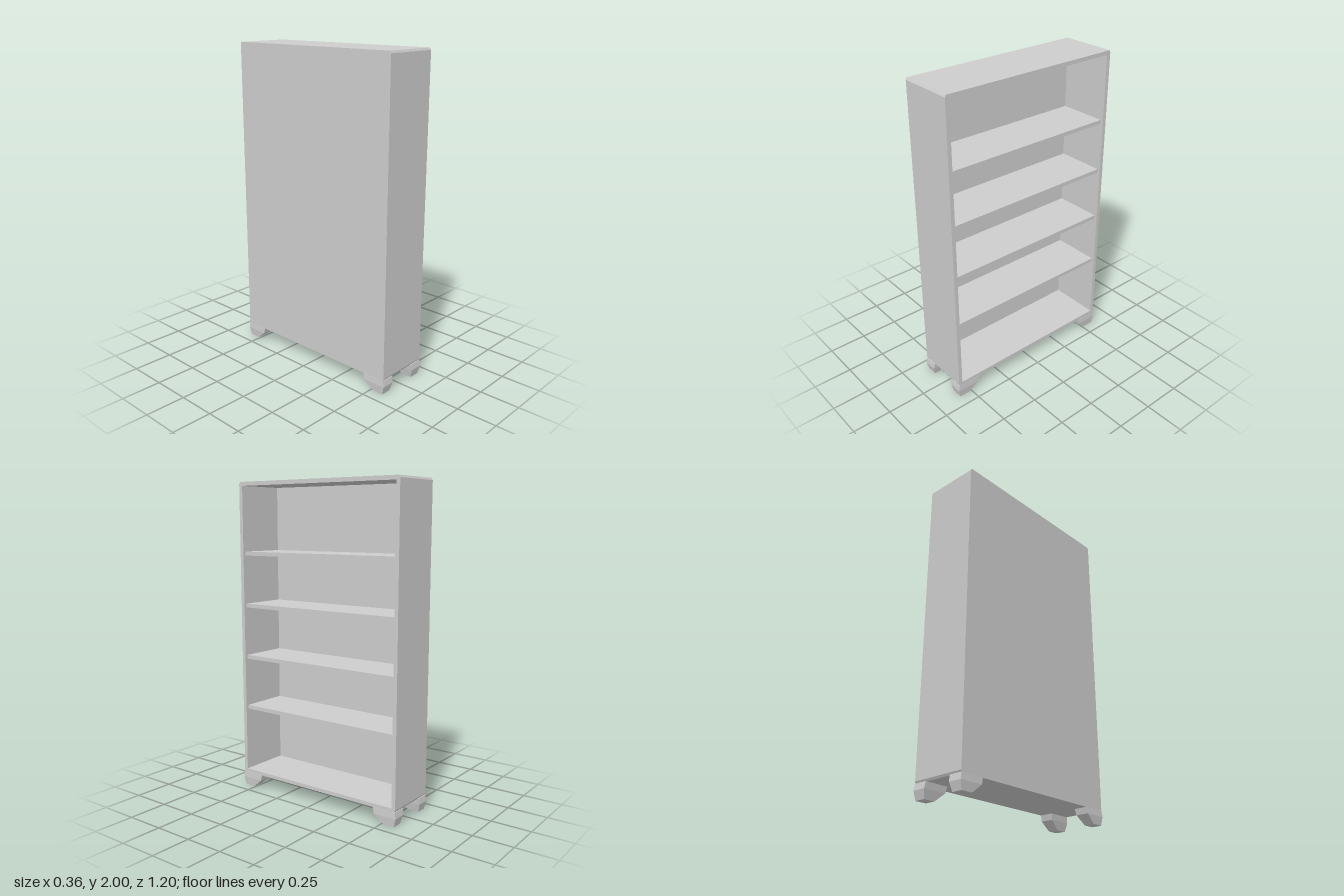
import * as THREE from 'three';

export function createModel() {
  const model = new THREE.Group();
  model.name = 'bookcase';
  const grey = new THREE.MeshStandardMaterial({ color: 0xcccccc, flatShading: true });
  grey.name = 'plain grey';

  const add = (name, geometry, x = 0, y = 0, z = 0) => {
    const mesh = new THREE.Mesh(geometry, grey);
    mesh.name = name;
    mesh.position.set(x, y, z);
    model.add(mesh);
    return mesh;
  };

  const back = -0.177, front = 0.177, backThickness = 0.02;
  const outerZ = 0.595, innerZ = 0.57;
  const bottom = 0.09, top = 2, floor = 0.113, ceiling = 1.975;
  const bevelZ = 0.007, bevelY = 0.013;

  // Outline of the case with small chamfers, drawn in (z, y)
  const outline = () => new THREE.Shape([
    [-outerZ + bevelZ, bottom], [outerZ - bevelZ, bottom],
    [outerZ, bottom + bevelY], [outerZ, top - bevelY],
    [outerZ - bevelZ, top], [-outerZ + bevelZ, top],
    [-outerZ, top - bevelY], [-outerZ, bottom + bevelY],
  ].map(([z, y]) => new THREE.Vector2(z, y)));

  // Extrude along x, from x0 to x1
  const slab = (shape, x0, x1) =>
    new THREE.ExtrudeGeometry(shape, { depth: x1 - x0, bevelEnabled: false })
      .rotateY(Math.PI / 2).translate(x0, 0, 0);

  // Sides, top and bottom as one frame, closed by a back panel
  const frame = outline();
  frame.holes.push(new THREE.Path([
    [-innerZ, floor], [-innerZ, ceiling], [innerZ, ceiling], [innerZ, floor],
  ].map(([z, y]) => new THREE.Vector2(z, y))));
  add('caseFrame', slab(frame, back + backThickness, front));
  add('backPanel', slab(outline(), back, back + backThickness));

  // Four shelves set slightly behind the front edge
  const shelfFront = front - 0.018, shelfBack = back + backThickness;
  for (const y of [0.537, 0.876, 1.215, 1.551]) {
    add('shelf', new THREE.BoxGeometry(shelfFront - shelfBack, 0.025, innerZ * 2),
      (shelfFront + shelfBack) / 2, y, 0);
  }

  // Tapered foot: rectangular sections [y, inner x, outer x, inner z, outer z]
  const sections = [
    [0, 0.107, 0.174, 0.513, 0.587],
    [0.053, 0.095, 0.18, 0.45, 0.6],
    [0.092, 0.09, 0.178, 0.44, 0.594],
  ];
  const footGeometry = (sx, sz) => {
    const points = [], index = [];
    const quad = (a, b, c, d) =>
      index.push(...(sx * sz > 0 ? [a, b, c, a, c, d] : [a, c, b, a, d, c]));
    sections.forEach(([y, x0, x1, z0, z1], level) => {
      for (const [x, z] of [[x0, z0], [x0, z1], [x1, z1], [x1, z0]]) points.push(x * sx, y, z * sz);
      if (level === 0) return;
      const low = (level - 1) * 4, high = level * 4;
      for (let i = 0; i < 4; i++) {
        const j = (i + 1) % 4;
        quad(low + i, low + j, high + j, high + i);
      }
    });
    quad(3, 2, 1, 0);
    quad(8, 9, 10, 11);
    const geometry = new THREE.BufferGeometry();
    geometry.setAttribute('position', new THREE.Float32BufferAttribute(points, 3));
    geometry.setIndex(index);
    const flat = geometry.toNonIndexed();
    flat.computeVertexNormals();
    return flat;
  };
  for (const sx of [-1, 1]) {
    for (const sz of [-1, 1]) add('foot', footGeometry(sx, sz));
  }

  return model;
}
